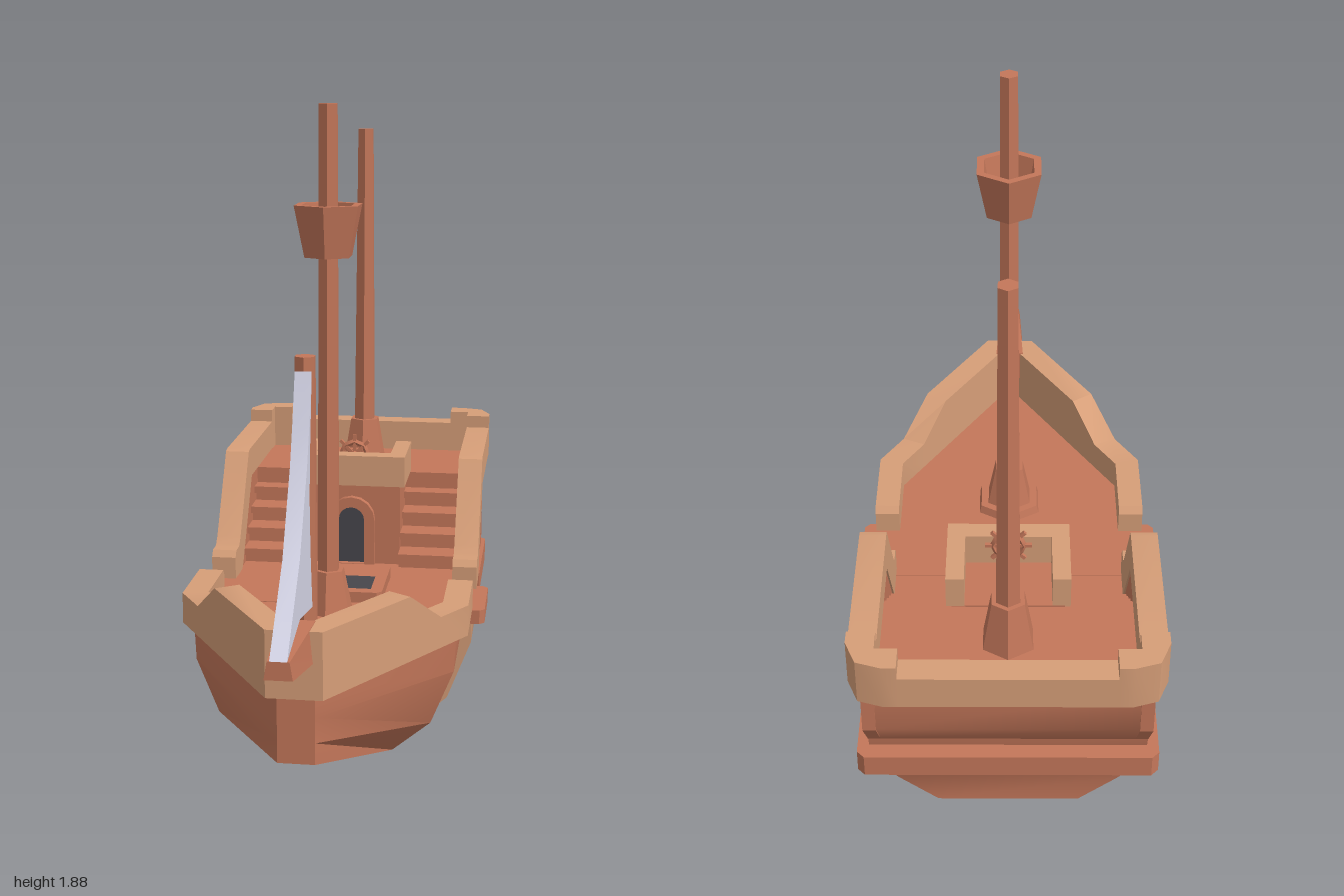
import * as THREE from 'three';
import { toCreasedNormals } from 'three/addons/utils/BufferGeometryUtils.js';

export function createModel() {
  const ship = new THREE.Group();
  ship.name = 'sailingShip';

  const material = (name, color) => {
    const m = new THREE.MeshStandardMaterial({ color });
    m.name = name;
    return m;
  };
  const wood = material('wood', 0xc4775a);
  const trim = material('lightWood', 0xd69e78);
  const cloth = material('sailCloth', 0xd6d6e8);
  const glass = material('windowGlass', 0xc6ccdc);
  const dark = material('darkOpening', 0x47464c);

  const add = (name, geometry, mat, parent = ship) => {
    const mesh = new THREE.Mesh(toCreasedNormals(geometry, 0.6), mat);
    mesh.name = name;
    parent.add(mesh);
    return mesh;
  };
  const toShape = (pts) => new THREE.Shape(pts.map(([a, b]) => new THREE.Vector2(a, b)));
  const extrude = (shape, depth) => new THREE.ExtrudeGeometry(shape, { depth, bevelEnabled: false, curveSegments: 8 });
  // Box given by its limits
  const box = (x0, x1, y0, y1, z0, z1) =>
    new THREE.BoxGeometry(x1 - x0, y1 - y0, z1 - z0).translate((x0 + x1) / 2, (y0 + y1) / 2, (z0 + z1) / 2);
  // Side profile of [z, y] points, extruded from x0 to x1
  const sideProfile = (pts, x0, x1) => extrude(toShape(pts), x1 - x0).rotateY(-Math.PI / 2).translate(x1, 0, 0);
  // Plan outline of [x, z] points, extruded from y0 to y1
  const plan = (pts, y0, y1, hole) => {
    const flip = (list) => toShape(list.map(([x, z]) => [x, -z]));
    const shape = flip(pts);
    if (hole) shape.holes.push(flip(hole));
    return extrude(shape, y1 - y0).rotateX(-Math.PI / 2).translate(0, y0, 0);
  };
  const mirrored = (half) => [...half, ...half.map(([x, ...rest]) => [-x, ...rest]).reverse()];
  // Skin over rings of [x, y, z] points, closed at both ends
  const loft = (rings) => {
    const pos = [];
    const quad = (a, b, c, d) => pos.push(...a, ...b, ...c, ...a, ...c, ...d);
    const n = rings[0].length;
    for (let i = 0; i < rings.length - 1; i++) {
      const p = rings[i], q = rings[i + 1];
      for (let j = 0; j < n; j++) quad(p[j], p[(j + 1) % n], q[(j + 1) % n], q[j]);
    }
    const cap = (r, flip) => {
      for (let k = 0; k < n / 2 - 1; k++) {
        const c = [r[(n - k) % n], r[k + 1], r[k + 2], r[n - k - 1]];
        quad(...(flip ? c.reverse() : c));
      }
    };
    cap(rings[0], true);
    cap(rings[rings.length - 1], false);
    const g = new THREE.BufferGeometry();
    g.setAttribute('position', new THREE.Float32BufferAttribute(pos, 3));
    g.computeVertexNormals();
    return g;
  };

  // Hull: stern, widest and bow sections, each listed from deck edge to keel
  const hullRing = (half) => {
    const left = half.map(([x, y, z]) => [-x, y, z]);
    return [half[0], ...left, ...half.slice(1).reverse()];
  };
  const section = [[0.38, 0.4], [0.375, 0.29], [0.31, 0.13], [0.2, 0.04]];
  const sternZ = [-0.86, -0.845, -0.77, -0.77];
  add('hull', loft([
    hullRing(section.map(([x, y], i) => [x, y, sternZ[i]])),
    hullRing(section.map(([x, y]) => [x, y, 0.23])),
    hullRing([0.4, 0.34, 0.27, 0.21].map((y) => [0.05, y, 0.74])),
  ]), wood);

  // Rib around the hull, side platforms and stern belt
  add('hullRib', extrude(toShape(mirrored([[0.41, 0.395], [0.41, 0.29], [0.34, 0.11], [0.22, 0]])), 0.16)
    .translate(0, 0, -0.18), trim);
  add('sidePlatform', plan(mirrored([[0.435, 0.015], [0.45, 0], [0.45, -0.205], [0.435, -0.22]]), 0.36, 0.402), wood);
  add('sternBelt', plan(mirrored([[0.41, -0.48], [0.41, -0.88], [0.39, -0.9]]), 0.29, 0.36), wood);

  // Raised stern
  add('quarterdeck', sideProfile([[-0.61, 0.39], [-0.61, 0.66], [-0.955, 0.66], [-0.955, 0.53], [-0.86, 0.39]], -0.36, 0.36), wood);
  add('cabin', box(-0.155, 0.155, 0.39, 0.665, -0.63, -0.415), wood);
  add('cabinRail', plan([[-0.17, -0.63], [-0.17, -0.4], [0.17, -0.4], [0.17, -0.63],
    [0.12, -0.63], [0.12, -0.455], [-0.12, -0.455], [-0.12, -0.63]], 0.662, 0.76), trim);
  add('sternRail', box(-0.28, 0.28, 0.662, 0.76, -1, -0.93), trim);

  // Arched frame with a pane, facing +z
  const arch = (r, y0) => {
    const pts = [[r, y0]];
    for (let i = 0; i <= 8; i++) pts.push([r * Math.cos(i * Math.PI / 8), 0.15 + r * Math.sin(i * Math.PI / 8)]);
    pts.push([-r, y0]);
    return pts;
  };
  const archOpening = (name, sill, paneMat) => {
    const group = new THREE.Group();
    group.name = name;
    const frame = toShape(arch(0.075, 0));
    frame.holes.push(toShape(arch(0.042, sill)));
    add('frame', extrude(frame, 0.025), wood, group);
    add('pane', extrude(toShape(arch(0.044, sill)), 0.006), paneMat, group);
    ship.add(group);
    return group;
  };
  archOpening('cabinDoor', 0.005, dark).position.set(0, 0.4, -0.416);

  for (const s of [1, -1]) {
    const span = (a, b) => (s > 0 ? [a, b] : [-b, -a]);
    const side = s > 0 ? 'left' : 'right';
    add(side + 'SternWall', sideProfile([[-0.24, 0.39], [-0.3, 0.44], [-0.46, 0.67], [-0.96, 0.67], [-0.96, 0.53], [-0.86, 0.39]],
      ...span(0.345, 0.38)), wood);
    add(side + 'SternRail', sideProfile([[-0.19, 0.4], [-0.19, 0.47], [-0.205, 0.49], [-0.25, 0.49], [-0.275, 0.515],
      [-0.43, 0.755], [-0.45, 0.76], [-0.87, 0.76], [-0.87, 0.665], [-0.48, 0.665], [-0.32, 0.42], [-0.3, 0.4]],
      ...span(0.34, 0.415)), trim);
    add(side + 'CornerPost', plan([[0.415, -0.87], [0.415, -0.91], [0.385, -0.98], [0.32, -1], [0.28, -1],
      [0.28, -0.93], [0.34, -0.93], [0.34, -0.87]].map(([x, z]) => [s * x, z]), 0.662, 0.8), trim);

    const win = archOpening(side + 'Window', 0.035, glass);
    win.position.set(s * 0.379, 0.4, -0.635);
    win.rotation.y = s * Math.PI / 2;

    // Stairs up to the quarterdeck
    for (let i = 0; i < 4; i++) {
      const top = 0.452 + i * 0.052, front = -0.355 - i * 0.065;
      add(side + 'StairTread', box(...span(0.155, 0.345), top - 0.022, top, front - 0.09, front), wood);
      add(side + 'StairRiser', box(...span(0.155, 0.345), 0.39, top - 0.01, -0.62, front - 0.03), wood);
    }
  }

  // Bow rail: runs from one side, around the bow, to the other
  const railStation = (t, top, z) => {
    const lerp = THREE.MathUtils.lerp;
    const xo = lerp(0.413, 0.075, t), xi = lerp(0.34, 0.03, t);
    const zo = z ?? lerp(0.23, 0.77, t), zi = z ?? lerp(0.21, 0.7, t);
    return [[xo, 0.4, zo], [xo, top, zo], [xi, top, zi], [xi, 0.4, zi]];
  };
  const bowHalf = [railStation(0, 0.47, -0.015), railStation(0, 0.49, 0), railStation(0, 0.49),
    railStation(0.204, 0.49), railStation(0.426, 0.585), railStation(1, 0.585)];
  const bowOther = bowHalf.map((ring) => ring.map(([x, y, z]) => [-x, y, z])).reverse();
  add('bowRail', loft([...bowHalf, ...bowOther]), trim);

  // Bowsprit and jib sail
  const spritRing = (z, y0, y1, w0, w1) => [[w0, y0, z], [w1, y1, z], [-w1, y1, z], [-w0, y0, z]];
  add('bowsprit', loft([spritRing(0.69, 0.485, 0.587, 0.055, 0.045), spritRing(1, 0.54, 0.588, 0.036, 0.028)]), wood);
  add('jibSail', sideProfile([[0.592, 1.22], [0.635, 1.09], [0.675, 0.99], [0.8, 0.78], [1, 0.588], [0.8, 0.628],
    [0.592, 0.59], [0.622, 0.75], [0.635, 0.9], [0.622, 1.03]], -0.022, 0.022), cloth);

  // Hatch
  const square = (h, c) => [[-h, -0.15 - h + c], [-h + c, -0.15 - h], [h - c, -0.15 - h], [h, -0.15 - h + c],
    [h, -0.15 + h - c], [h - c, -0.15 + h], [-h + c, -0.15 + h], [-h, -0.15 + h - c]];
  add('hatchCoaming', plan(square(0.14, 0.015), 0.4, 0.435, square(0.104, 0.001)), wood);
  add('hatchOpening', box(-0.106, 0.106, 0.4, 0.407, -0.256, -0.044), dark);

  // Six-sided masts with flared feet
  const hexPole = (name, z, y0, y1, r0, r1) =>
    add(name, new THREE.CylinderGeometry(r1, r0, y1 - y0, 6).translate(0, (y0 + y1) / 2, z), wood);
  hexPole('foremast', 0.56, 0.39, 1.255, 0.034, 0.029);
  hexPole('mainMast', 0.13, 0.39, 1.88, 0.034, 0.028);
  hexPole('mainMastFoot', 0.13, 0.4, 0.55, 0.08, 0.048);
  hexPole('mainMastCollar', 0.13, 0.4, 0.425, 0.107, 0.1);
  hexPole('rearMast', -0.755, 0.65, 1.775, 0.038, 0.027);
  hexPole('rearMastFoot', -0.755, 0.66, 0.81, 0.077, 0.05);

  // Lookout basket
  const basket = [[0, 1.46], [0.072, 1.46], [0.103, 1.605], [0.08, 1.605], [0.066, 1.53], [0, 1.53]];
  add('lookoutBasket', new THREE.LatheGeometry(basket.map(([x, y]) => new THREE.Vector2(x, y)), 6)
    .translate(0, 0, 0.13), wood);

  // Steering wheel on its post
  const wheel = new THREE.Group();
  wheel.name = 'steeringWheel';
  wheel.position.set(0, 0.747, -0.475);
  add('rim', new THREE.TorusGeometry(0.043, 0.009, 4, 8), wood, wheel);
  for (let i = 0; i < 4; i++) {
    add('spoke', new THREE.BoxGeometry(0.13, 0.01, 0.01).rotateZ(i * Math.PI / 4), wood, wheel);
  }
  add('hub', new THREE.CylinderGeometry(0.014, 0.014, 0.04, 6).rotateX(Math.PI / 2), wood, wheel);
  add('post', box(-0.018, 0.018, -0.09, 0.015, -0.035, -0.01), wood, wheel);
  ship.add(wheel);

  return ship;
}
